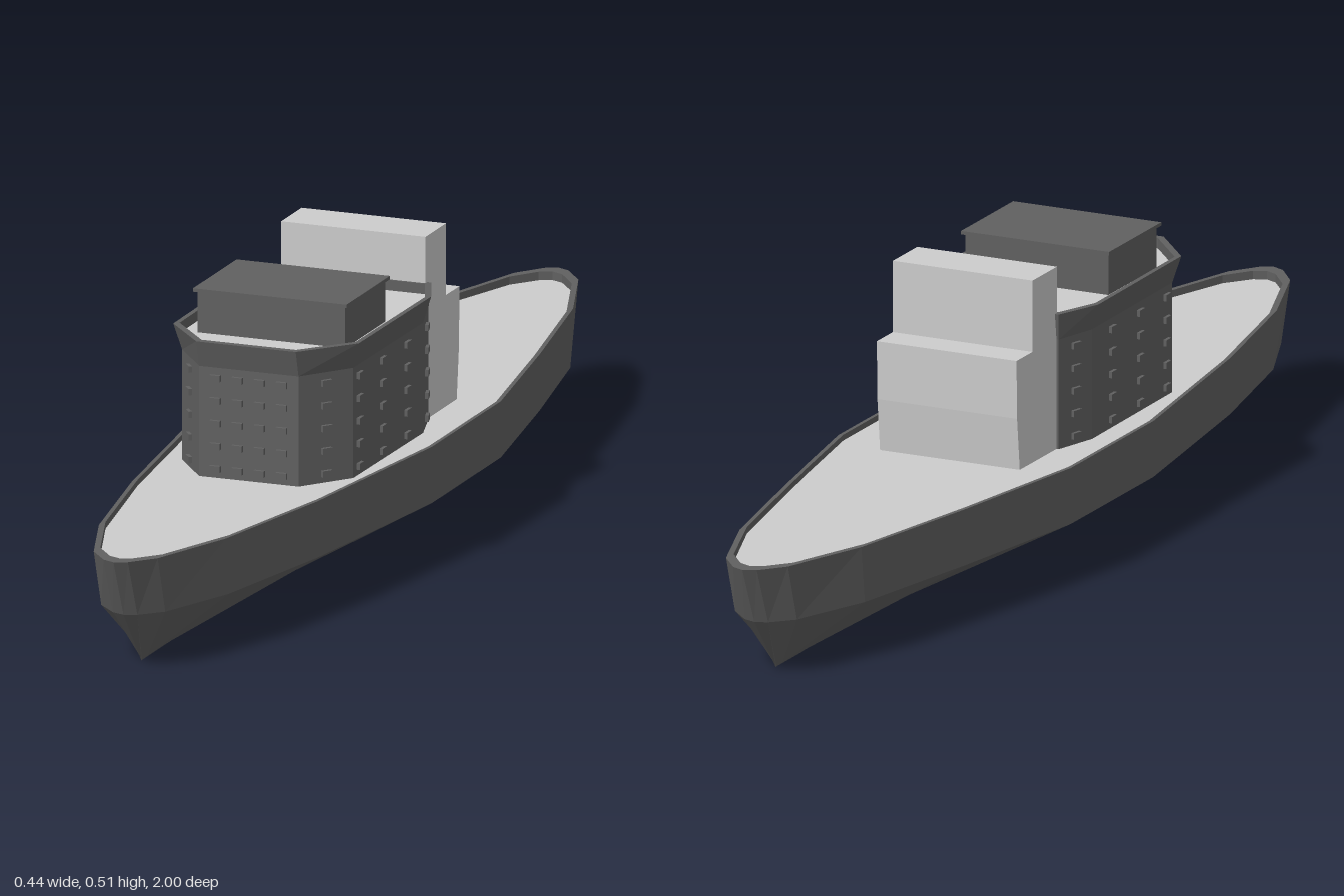
import * as THREE from 'three';

const mat = (name, color) => {
  const m = new THREE.MeshStandardMaterial({ color });
  m.name = name;
  return m;
};

// Mirror a front-to-back half outline [x, z] into a closed loop
const mirror = (half) => [
  ...half,
  ...half.filter(([x]) => x > 0).reverse().map(([x, z]) => [-x, z]),
];

// Flat-shaded skin over closed rings of [x, y, z], skipping collapsed triangles
function loft(rings) {
  const pos = [];
  const tri = (...p) => {
    const [a, b, c] = p.map((q) => new THREE.Vector3(...q));
    if (b.clone().sub(a).cross(c.clone().sub(a)).length() > 1e-9) pos.push(...p.flat());
  };
  for (let k = 0; k + 1 < rings.length; k++) {
    const a = rings[k], b = rings[k + 1];
    for (let i = 0; i < a.length; i++) {
      const j = (i + 1) % a.length;
      tri(a[i], a[j], b[j]);
      tri(a[i], b[j], b[i]);
    }
  }
  const g = new THREE.BufferGeometry();
  g.setAttribute('position', new THREE.Float32BufferAttribute(pos, 3));
  g.computeVertexNormals();
  return g;
}

// Close a ring with a fan to a centre point
const cap = (ring, y, z) => loft([ring, ring.map(() => [0, y, z])]);

export function createModel() {
  const dark = mat('dark grey paint', 0x606060);
  const light = mat('light grey paint', 0xcccccc);
  const root = new THREE.Group();
  root.name = 'ship';
  const add = (parent, name, geometry, material, x = 0, y = 0, z = 0) => {
    const m = new THREE.Mesh(geometry, material);
    m.name = name;
    m.position.set(x, y, z);
    parent.add(m);
    return m;
  };

  // Hull: V bottom, upright sides, raked ends and a low bulwark
  const quarter = [[0, 1], [0.022, 0.99], [0.058, 0.945], [0.115, 0.78], [0.168, 0.5], [0.218, 0.2]];
  const hull = mirror([
    ...quarter.map(([x, z]) => [x, x > 0.2 ? 0.11 : z]),
    ...quarter.map(([x, z]) => [x, -z]).reverse(),
  ]);
  const rake = (z, k) => z * (1 - k * Math.abs(z) ** 4);
  const sheer = (z) => 0.198 + 0.005 * Math.abs(z) ** 4;
  const deckRing = hull.map(([x, z]) => [x * 0.97, 0.188, z * 0.973]);
  add(root, 'hull', loft([
    hull.map(([, z]) => [0, 0, rake(z, 0.125)]),
    hull.map(([x, z]) => [x, 0.1, rake(z, 0.045)]),
    hull.map(([x, z]) => [x, sheer(z), z]),
    hull.map(([x, z]) => [x * 0.97, sheer(z), z * 0.973]),
    deckRing,
  ]), dark);
  add(root, 'deck', cap(deckRing, 0.188, 0), light);

  // Deckhouse: eight-sided walls with a flared parapet
  const house = new THREE.Group();
  house.name = 'deckhouse';
  root.add(house);
  const wall = mirror([[0.09, 0.392], [0.155, 0.307], [0.158, 0], [0.135, -0.08]]);
  const brim = mirror([[0.09, 0.405], [0.168, 0.315], [0.171, -0.004], [0.138, -0.086]]);
  const at = (ring, y, s = 1) => ring.map(([x, z]) => [x * s, y, 0.15 + (z - 0.15) * s]);
  add(house, 'houseWalls', loft([
    at(wall, 0.18), at(wall, 0.38), at(brim, 0.426), at(brim, 0.426, 0.95), at(brim, 0.408, 0.95),
  ]), dark);
  add(house, 'houseRoof', cap(at(brim, 0.408, 0.95), 0.408, 0.15), light);

  // Windows: five rows on every wall but the back; numbers run along each wall
  const pane = new THREE.BoxGeometry(0.019, 0.011, 0.012);
  const columns = { 0: [0.5], 1: [0.08, 0.41, 0.76], 2: [0.5] };
  const addWindows = (p, q, ts) => {
    const dx = q[0] - p[0], dz = q[1] - p[1];
    for (const t of ts) for (let row = 0; row < 5; row++) {
      const w = add(house, 'window', pane, dark, p[0] + dx * t, 0.204 + row * 0.0395, p[1] + dz * t);
      w.rotation.y = Math.atan2(-dz, dx);
    }
  };
  for (const [i, ts] of Object.entries(columns)) {
    const p = wall[+i], q = wall[+i + 1];
    addWindows(p, q, ts);
    addWindows([-q[0], q[1]], [-p[0], p[1]], ts.map((t) => 1 - t));
  }
  addWindows(wall[7], wall[0], [1 / 6, 7 / 18, 11 / 18, 5 / 6]);

  // Bridge cabin with an overhanging roof slab
  add(root, 'bridge', new THREE.BoxGeometry(0.268, 0.08, 0.182), dark, 0, 0.44, 0.2);
  add(root, 'bridgeRoof', new THREE.BoxGeometry(0.278, 0.006, 0.196), dark, 0, 0.483, 0.2);

  // Stepped funnel block behind the deckhouse, drawn as a side profile
  const profile = [
    [-0.078, 0.18], [-0.078, 0.507], [-0.17, 0.507], [-0.17, 0.382],
    [-0.23, 0.382], [-0.228, 0.28], [-0.217, 0.18],
  ].map(([z, y]) => new THREE.Vector2(-z, y));
  const block = new THREE.ExtrudeGeometry(new THREE.Shape(profile), { depth: 0.262, bevelEnabled: false });
  block.translate(0, 0, -0.131).rotateY(Math.PI / 2);
  add(root, 'funnelBlock', block, light);

  return root;
}
